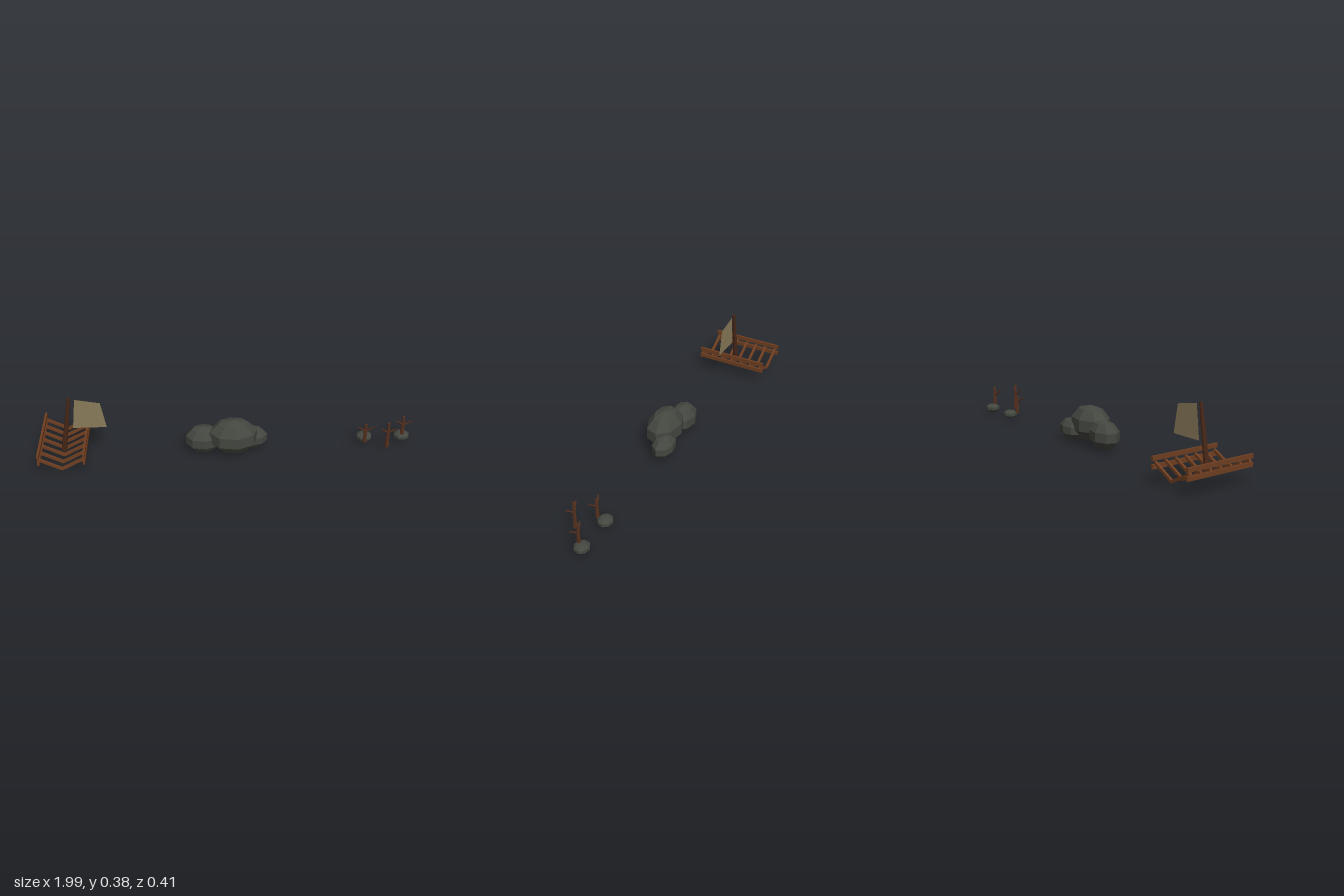
import * as THREE from 'three';

const mat = (name, color) => {
  const m = new THREE.MeshStandardMaterial({ color, flatShading: true });
  m.name = name;
  return m;
};

export function createModel() {
  const plank = mat('plank brown', 0x6e3d20);
  const timber = mat('dark timber', 0x472718);
  const bark = mat('bark', 0x54301f);
  const stone = mat('rock grey', 0x444740);
  const cloth = mat('canvas', 0x8a7b5a);
  cloth.side = THREE.DoubleSide;

  const root = new THREE.Group();
  const group = (name) => {
    const g = new THREE.Group();
    g.name = name;
    root.add(g);
    return g;
  };
  const add = (parent, name, geo, material, pos = [0, 0, 0]) => {
    const mesh = new THREE.Mesh(geo, material);
    mesh.name = name;
    mesh.position.set(...pos);
    parent.add(mesh);
    return mesh;
  };
  // Lay a geometry whose axis is y between two points
  const between = (parent, name, a, b, makeGeo, material) => {
    const p = new THREE.Vector3(...a), q = new THREE.Vector3(...b);
    const dir = q.clone().sub(p);
    const mesh = add(parent, name, makeGeo(dir.length()), material);
    mesh.position.copy(p).add(q).multiplyScalar(0.5);
    mesh.quaternion.setFromUnitVectors(new THREE.Vector3(0, 1, 0), dir.normalize());
    return mesh;
  };
  const taper = (bottom, top, sides) => (len) => new THREE.CylinderGeometry(top, bottom, len, sides);
  const rock = (parent, name, pos, size, turn = 0) => {
    const geo = new THREE.SphereGeometry(1, 8, 5).rotateY(turn).scale(...size);
    return add(parent, name, geo, stone, pos);
  };

  // Wrecked boat: two rails per side on V-shaped ribs
  const wreck = group('wreck');
  const cx = -0.877;
  for (const side of [-1, 1]) {
    for (const y of [0.094, 0.134]) {
      add(wreck, 'rail', new THREE.BoxGeometry(0.012, 0.022, 0.405), plank, [cx + side * 0.117, y, 0]);
    }
    for (let i = -3; i <= 3; i++) {
      between(wreck, 'rib', [cx - side * 0.002, 0.049, i * 0.0615 + 0.002],
        [cx + side * 0.118, 0.113, i * 0.0615 + 0.002],
        (len) => new THREE.BoxGeometry(0.014, len, 0.013), plank);
    }
  }

  // Leaning mast and torn sail
  between(wreck, 'mast', [-0.882, 0.055, 0.027], [-0.827, 0.38, 0.027], taper(0.015, 0.009, 7), timber);
  const sail = new THREE.Shape([[-0.8, 0.37], [-0.822, 0.195], [-0.645, 0.195], [-0.67, 0.345]]
    .map(([x, y]) => new THREE.Vector2(x, y)));
  add(wreck, 'sail', new THREE.ShapeGeometry(sail), cloth, [0, 0, 0.027]);

  // Rock cluster
  const rocks = group('rocks');
  rock(rocks, 'largeRock', [0.022, 0.114, 0.023], [0.137, 0.1, 0.094], 0.15);
  rock(rocks, 'leftRock', [-0.137, 0.083, -0.002], [0.1, 0.08, 0.073], 0.1);
  rock(rocks, 'rightRock', [0.125, 0.07, -0.025], [0.088, 0.063, 0.06], -0.1);

  // Dead trees, each with two forked branches
  const grove = group('deadTrees');
  for (const [x, z, h] of [[0.74, 0.003, 0.112], [0.85, 0.058, 0.152], [0.95, -0.029, 0.132]]) {
    const base = 0.035;
    between(grove, 'trunk', [x, base, z], [x, base + h, z], taper(0.012, 0.007, 6), bark);
    for (const side of [-1, 1]) {
      const y = base + h * 0.6;
      between(grove, 'branch', [x, y, z], [x + side * 0.041, y + 0.036, z + 0.016],
        taper(0.006, 0.004, 5), bark);
    }
  }

  // Small stones beside two of the trees
  for (const x of [0.745, 0.952]) {
    rock(grove, 'smallStone', [x, 0.038, -0.045], [0.045, 0.026, 0.041], 0.2);
  }

  return root;
}
